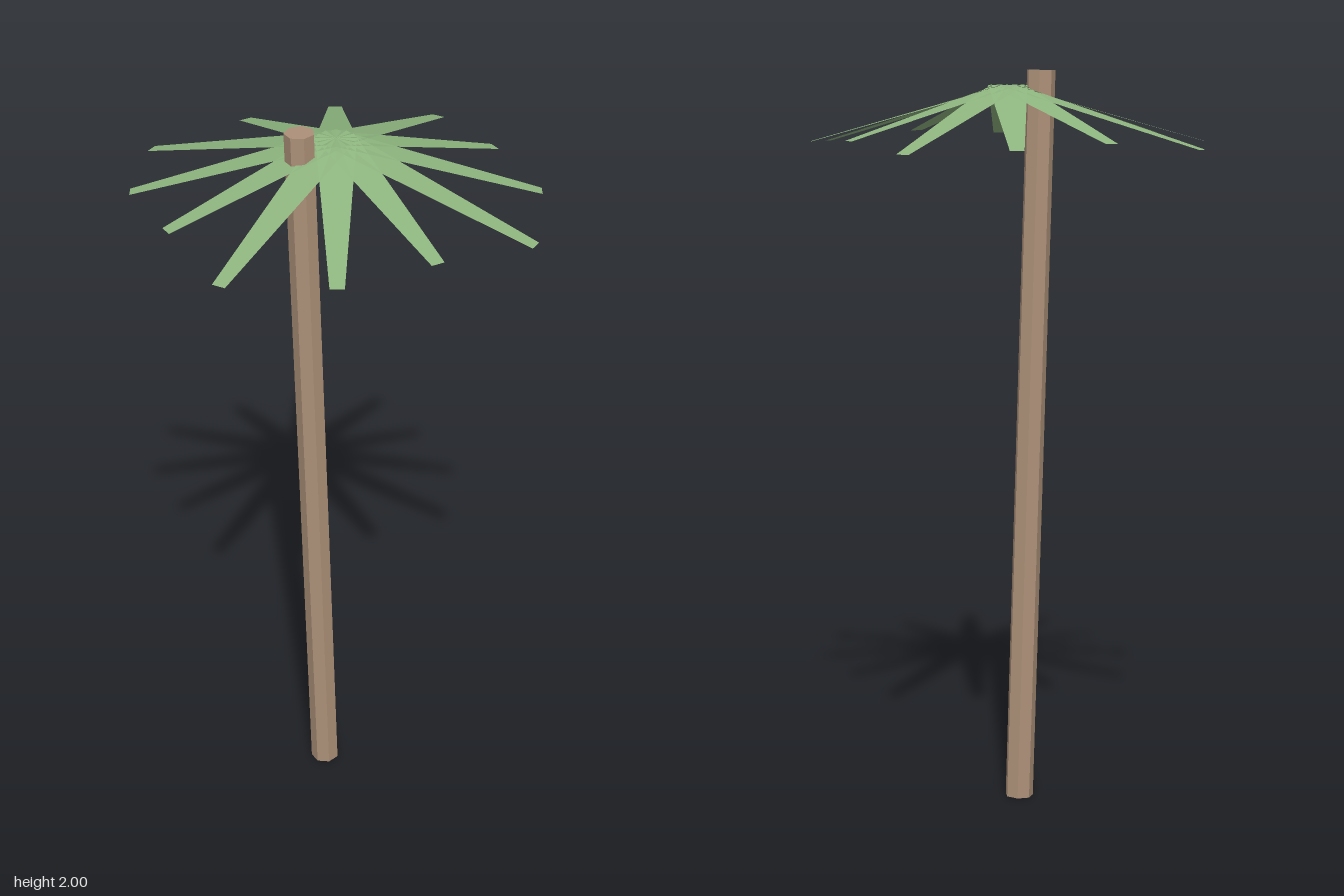
import * as THREE from 'three';

// Tapered flat frond running along +x from the crown and sloping down
function frondGeometry(length) {
  const w0 = 0.052, w1 = 0.018, drop = length * 0.282;
  const g = new THREE.BufferGeometry().setFromPoints([
    new THREE.Vector3(0, 0, -w0),
    new THREE.Vector3(0, 0, w0),
    new THREE.Vector3(length, -drop, w1),
    new THREE.Vector3(length, -drop, -w1),
  ]);
  g.setIndex([0, 1, 2, 0, 2, 3]);
  g.computeVertexNormals();
  return g;
}

export function createModel() {
  const model = new THREE.Group();
  model.name = 'palmTree';

  const bark = new THREE.MeshStandardMaterial({ color: 0xac9078, flatShading: true });
  const green = new THREE.MeshStandardMaterial({ color: 0x8db47e, flatShading: true, side: THREE.DoubleSide });

  // Leaning seven-sided trunk, a corner facing +x
  const lean = Math.atan(0.068 / 2);
  const trunkGeometry = new THREE.CylinderGeometry(0.039, 0.039, 1.998, 7);
  trunkGeometry.rotateY(Math.PI / 2);
  const trunk = new THREE.Mesh(trunkGeometry, bark);
  trunk.name = 'trunk';
  trunk.position.set(-0.071, 1, 0);
  trunk.rotation.z = lean;
  model.add(trunk);

  // Crown of twelve fronds in three repeating lengths
  const crown = new THREE.Group();
  crown.name = 'crown';
  crown.position.y = 1.96;
  const fronds = [0.48, 0.558, 0.52].map(frondGeometry);
  for (let i = 0; i < 12; i++) {
    const frond = new THREE.Mesh(fronds[i % 3], green);
    frond.name = 'frond' + (i + 1);
    frond.rotation.y = (i * Math.PI) / 6;
    crown.add(frond);
  }
  model.add(crown);

  return model;
}
